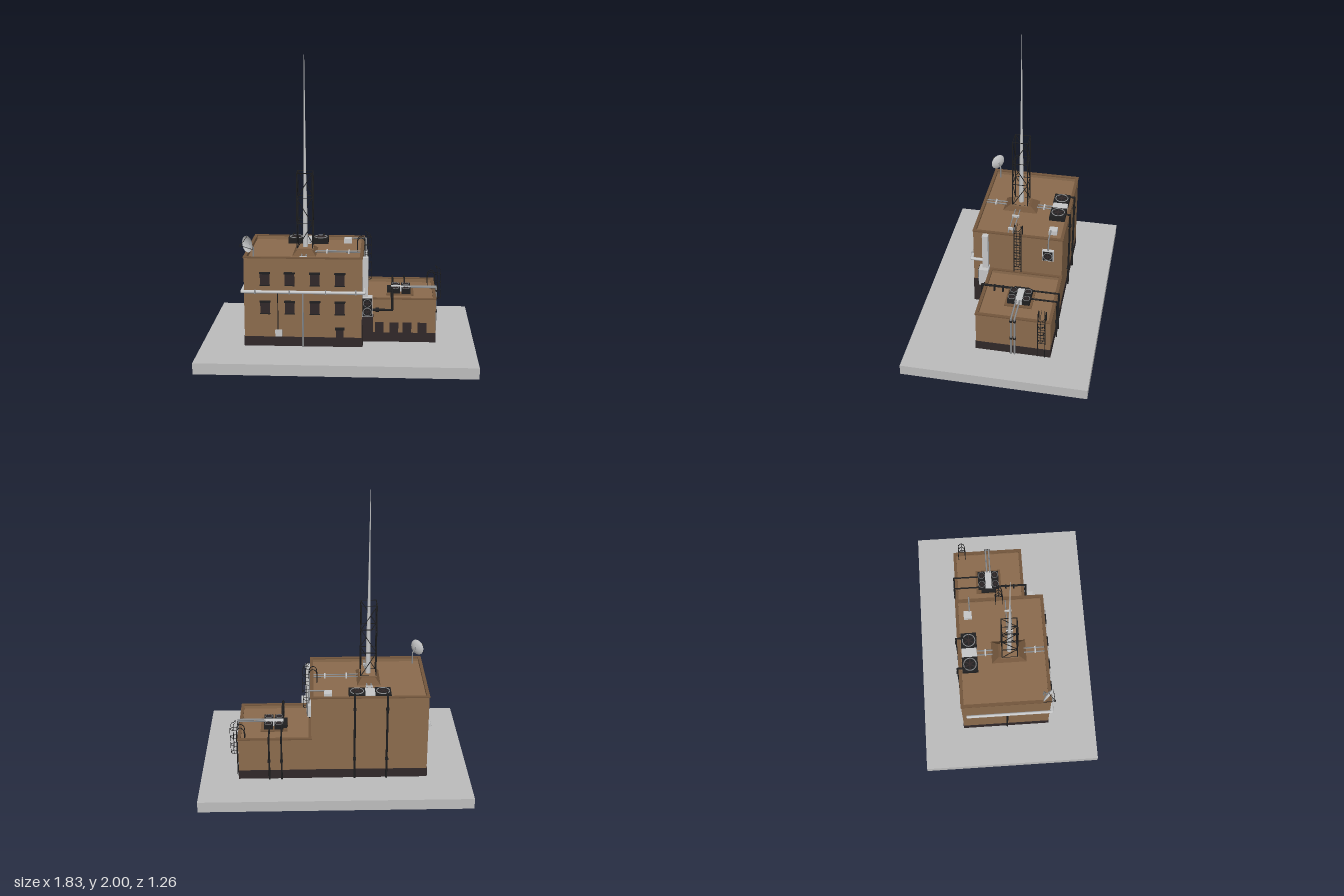
import * as THREE from 'three';

const mat = (name, color, side = THREE.FrontSide) => {
  const m = new THREE.MeshStandardMaterial({ color, side });
  m.name = name;
  return m;
};

export function createModel() {
  const root = new THREE.Group();
  root.name = 'communicationsBuilding';
  const concrete = mat('concrete', 0xbdbdbd);
  const brick = mat('brownWall', 0x8b6b4d);
  const trim = mat('brownTrim', 0x73563c);
  const dark = mat('darkBase', 0x302829);
  const black = mat('blackMetal', 0x1f1f20);
  const grey = mat('greyMetal', 0x8c8e90);
  const light = mat('lightMetal', 0xc6c7c8, THREE.DoubleSide);

  const group = (name) => {
    const g = new THREE.Group();
    g.name = name;
    root.add(g);
    return g;
  };
  const add = (name, geo, m, parent = root) => {
    const mesh = new THREE.Mesh(geo, m);
    mesh.name = name;
    parent.add(mesh);
    return mesh;
  };
  // Box from its minimum and maximum on each axis
  const box = (name, m, x0, x1, y0, y1, z0, z1, parent) => {
    const b = add(name, new THREE.BoxGeometry(x1 - x0, y1 - y0, z1 - z0), m, parent);
    b.position.set((x0 + x1) / 2, (y0 + y1) / 2, (z0 + z1) / 2);
    return b;
  };
  // Straight pipe runs with rounded elbows
  const pipe = (name, m, r, pts, parent, sides = 8) => {
    const v = pts.map((p) => new THREE.Vector3(...p));
    for (let i = 0; i + 1 < v.length; i++) {
      const d = v[i + 1].clone().sub(v[i]);
      const c = add(name, new THREE.CylinderGeometry(r, r, d.length(), sides), m, parent);
      c.position.copy(v[i]).addScaledVector(d, 0.5);
      c.quaternion.setFromUnitVectors(new THREE.Vector3(0, 1, 0), d.normalize());
      if (i > 0) add(name + 'Elbow', new THREE.SphereGeometry(r, sides, 6), m, parent).position.copy(v[i]);
    }
  };
  const curve = (name, m, r, pts, parent) => add(name, new THREE.TubeGeometry(
    new THREE.CatmullRomCurve3(pts.map((p) => new THREE.Vector3(...p))), 16, r, 5), m, parent);
  // Fan lying flat, facing up
  const fan = (x, y, z, r, parent) => {
    const f = new THREE.Group();
    f.name = 'fan';
    f.position.set(x, y, z);
    add('fanRing', new THREE.TorusGeometry(r, r * 0.08, 6, 20).rotateX(Math.PI / 2), grey, f);
    add('fanHub', new THREE.CylinderGeometry(r * 0.22, r * 0.22, 0.006, 12), dark, f);
    for (let i = 0; i < 3; i++) {
      add('fanBlade', new THREE.BoxGeometry(r * 1.9, 0.003, r * 0.2), dark, f).rotation.y = i * Math.PI / 3;
    }
    parent.add(f);
    return f;
  };

  box('groundSlab', concrete, -0.917, 0.917, 0, 0.075, -0.63, 0.63);

  // Walled blocks with a sunken roof, parapet and dark plinth
  const block = (name, x0, x1, top, z0, z1) => {
    const g = group(name);
    const roof = top - 0.032, t = 0.014, c = 0.004;
    box('walls', brick, x0, x1, 0.075, roof, z0, z1, g);
    for (const [a, b, d, e] of [[x0, x1, z0, z0 + t], [x0, x1, z1 - t, z1], [x0, x0 + t, z0 + t, z1 - t], [x1 - t, x1, z0 + t, z1 - t]]) {
      box('parapet', brick, a, b, roof, top - 0.008, d, e, g);
      box('parapetCap', trim, a - c, b + c, top - 0.008, top, d - c, e + c, g);
    }
    box('plinth', dark, x0 - 0.003, x1 + 0.003, 0.075, 0.14, z0 - 0.003, z1 + 0.003, g);
  };
  block('mainBlock', -0.625, 0.162, 0.69, -0.34, 0.283);
  block('annex', 0.162, 0.656, 0.382, -0.342, 0.165);
  box('darkSidePanel', dark, 0.16, 0.167, 0.075, 0.27, 0.165, 0.286);
  box('darkFrontPanel', dark, 0.162, 0.235, 0.075, 0.27, 0.165, 0.171);

  // Front windows with black lintels
  const win = group('windows');
  for (const x of [-0.485, -0.32, -0.152, 0.014]) for (const y of [0.345, 0.542]) {
    box('windowPane', dark, x - 0.032, x + 0.032, y - 0.042, y + 0.042, 0.28, 0.288, win);
    box('lintel', black, x - 0.036, x + 0.036, y + 0.036, y + 0.047, 0.28, 0.302, win);
    box('sill', black, x - 0.034, x + 0.034, y - 0.046, y - 0.041, 0.28, 0.294, win);
  }
  for (const x of [0.276, 0.375, 0.463, 0.565]) {
    box('annexWindow', dark, x - 0.03, x + 0.03, 0.13, 0.212, 0.16, 0.17, win);
  }
  box('frontHatch', dark, -0.012, 0.04, 0.08, 0.2, 0.28, 0.29);
  box('hatchLintel', black, -0.018, 0.046, 0.196, 0.21, 0.28, 0.302);

  // Large pipe wrapping the walls, with downpipes
  const wrap = group('wallPipes');
  pipe('ringPipe', light, 0.011, [[-0.637, 0.455, -0.31], [-0.637, 0.455, 0.297], [0.176, 0.455, 0.297], [0.176, 0.455, 0.2]], wrap, 12);
  for (const x of [-0.55, -0.32, -0.08, 0.12]) box('pipeBracket', grey, x - 0.004, x + 0.004, 0.442, 0.468, 0.282, 0.309, wrap);
  pipe('frontDownpipe', grey, 0.006, [[-0.232, 0.455, 0.293], [-0.232, 0.075, 0.293]], wrap);
  pipe('frontCable', black, 0.003, [[-0.4, 0.45, 0.287], [-0.4, 0.18, 0.287]], wrap);
  box('meterBox', light, -0.418, -0.372, 0.145, 0.19, 0.28, 0.298, wrap);
  pipe('leftDownpipe', black, 0.006, [[-0.632, 0.455, -0.02], [-0.632, 0.075, -0.02]], wrap);
  for (const x of [-0.348, -0.13]) {
    pipe('backDownpipe', black, 0.007, [[x, 0.675, -0.3], [x, 0.697, -0.3], [x, 0.697, -0.35], [x, 0.075, -0.35]], wrap);
    for (const y of [0.22, 0.6]) box('pipeClamp', black, x - 0.011, x + 0.011, y, y + 0.012, -0.361, -0.338, wrap);
  }
  for (const x of [0.365, 0.449]) {
    pipe('annexBackPipe', black, 0.006, [[x, 0.388, -0.16], [x, 0.388, -0.353], [x, 0.075, -0.353]], wrap);
    box('pipeClamp', black, x - 0.01, x + 0.01, 0.21, 0.222, -0.362, -0.34, wrap);
  }
  for (const z of [-0.078, -0.102]) {
    pipe('annexSidePipe', grey, 0.006, [[0.48, 0.388, z], [0.668, 0.388, z], [0.668, 0.075, z]], wrap);
    for (const y of [0.21, 0.36]) box('pipeClamp', black, 0.655, 0.678, y, y + 0.012, z - 0.009, z + 0.009, wrap);
  }

  // Corner duct and the unit beneath it
  const duct = group('cornerDuct');
  box('ductRiser', light, 0.162, 0.2, 0.4, 0.675, 0.174, 0.214, duct);
  box('ductUnit', light, 0.162, 0.23, 0.27, 0.405, 0.168, 0.236, duct);
  box('unitFront', black, 0.164, 0.228, 0.275, 0.4, 0.234, 0.24, duct);
  for (const y of [0.307, 0.368]) fan(0.196, y, 0.241, 0.027, duct).rotation.x = Math.PI / 2;
  pipe('unitPipe', black, 0.008, [[0.23, 0.305, 0.182], [0.362, 0.305, 0.182], [0.362, 0.39, 0.182], [0.362, 0.39, -0.04]], duct);
  add('valve', new THREE.CylinderGeometry(0.015, 0.015, 0.025, 10).rotateZ(Math.PI / 2), black, duct).position.set(0.262, 0.305, 0.182);
  for (const z of [0.03, 0.09]) box('pipeSupport', black, 0.352, 0.372, 0.35, 0.398, z, z + 0.01, duct);

  // Cooling units on both roofs
  const cool = group('mainRoofCooler');
  box('coolerMiddle', light, -0.27, -0.2, 0.658, 0.692, -0.315, -0.21, cool);
  for (const [a, b] of [[-0.375, -0.268], [-0.202, -0.092]]) {
    box('coolerBody', black, a, b, 0.658, 0.696, -0.317, -0.207, cool);
    fan((a + b) / 2, 0.698, -0.262, 0.044, cool);
  }
  const acool = group('annexCooler');
  box('coolerCurb', trim, 0.325, 0.51, 0.35, 0.358, -0.187, 0, acool);
  box('coolerBand', light, 0.354, 0.49, 0.358, 0.389, -0.118, -0.068, acool);
  box('coolerSideBox', black, 0.328, 0.354, 0.358, 0.38, -0.15, -0.04, acool);
  for (const x of [0.385, 0.457]) for (const z of [-0.144, -0.044]) {
    box('coolerBody', black, x - 0.031, x + 0.031, 0.358, 0.392, z - 0.027, z + 0.027, acool);
    fan(x, 0.394, z, 0.024, acool);
  }

  // Wall fan and the roof box that feeds it
  const vent = group('wallVent');
  box('ventFrame', light, 0.16, 0.185, 0.515, 0.6, -0.283, -0.203, vent);
  box('ventFace', black, 0.182, 0.188, 0.521, 0.594, -0.277, -0.209, vent);
  fan(0.19, 0.557, -0.243, 0.03, vent).rotation.z = -Math.PI / 2;
  box('roofBox', light, 0.02, 0.074, 0.658, 0.692, -0.287, -0.23, vent);
  pipe('ventConduit', grey, 0.005, [[0.07, 0.694, -0.245], [0.176, 0.694, -0.245], [0.176, 0.595, -0.245]], vent);

  // Roof ducts running from the tower base
  const runs = group('roofDucts');
  for (const x of [-0.25, -0.22]) {
    pipe('roofPipe', grey, 0.005, [[x, 0.668, -0.21], [x, 0.668, -0.1]], runs);
    pipe('roofPipe', grey, 0.005, [[x, 0.668, 0.12], [x, 0.668, 0.27]], runs);
  }
  for (const z of [0.015, 0.048]) pipe('roofPipe', grey, 0.004, [[-0.17, 0.668, z], [0.15, 0.668, z]], runs);
  for (const x of [-0.085, 0.065]) box('pipeSaddle', light, x - 0.005, x + 0.005, 0.658, 0.677, 0.006, 0.056, runs);
  for (const z of [-0.15, 0.2]) box('pipeSaddle', light, -0.259, -0.211, 0.658, 0.677, z - 0.005, z + 0.005, runs);

  // Antenna tower: sloped foot, lattice and tapered mast
  const tower = group('antennaTower');
  const cx = -0.235, cz = 0.018, h = 0.053;
  const foot = add('towerFoot', new THREE.CylinderGeometry(0.6, 1, 0.036, 4, 1).rotateY(Math.PI / 4).toNonIndexed(), trim, tower);
  foot.geometry.computeVertexNormals();
  foot.scale.set(0.113, 1, 0.172);
  foot.position.set(cx, 0.676, 0.014);
  box('towerPlate', brick, cx - 0.06, cx + 0.06, 0.69, 0.697, cz - 0.06, cz + 0.06, tower);
  const corner = (i) => [cx + [h, h, -h, -h][i % 4], cz + [h, -h, -h, h][i % 4]];
  const levels = [0.695, 0.87, 1.042, 1.215];
  for (let i = 0; i < 4; i++) {
    const [ax, az] = corner(i), [bx, bz] = corner(i + 1);
    pipe('towerLeg', black, 0.0035, [[ax, 0.69, az], [ax, 1.217, az]], tower, 6);
    levels.forEach((y, k) => {
      pipe('towerRing', black, 0.0028, [[ax, y, az], [bx, y, bz]], tower, 5);
      if (k < 3) pipe('towerBrace', black, 0.0028, [[k % 2 ? bx : ax, y, k % 2 ? bz : az], [k % 2 ? ax : bx, levels[k + 1], k % 2 ? az : bz]], tower, 5);
    });
  }
  add('mast', new THREE.LatheGeometry([[0.018, 0.69], [0.015, 0.95], [0.0095, 1.2], [0.006, 1.5], [0.0015, 2]]
    .map((p) => new THREE.Vector2(...p)), 12), light, tower).position.set(cx, 0, cz);

  // Satellite dish on the front corner
  const dish = group('satelliteDish');
  const bowl = add('dishBowl', new THREE.LatheGeometry([[0.001, 0], [0.025, 0.003], [0.043, 0.009], [0.056, 0.017]]
    .map((p) => new THREE.Vector2(...p)), 20), light, dish);
  bowl.position.set(-0.588, 0.772, 0.25);
  bowl.quaternion.setFromUnitVectors(new THREE.Vector3(0, 1, 0), new THREE.Vector3(-1, 0, 1).normalize());
  const tip = [-0.64, 0.772, 0.302];
  for (const p of [[-0.6, 0.825, 0.262], [-0.64, 0.745, 0.225], [-0.56, 0.745, 0.3]]) pipe('feedStrut', black, 0.002, [p, tip], dish, 5);
  add('feedHorn', new THREE.CylinderGeometry(0.006, 0.006, 0.018, 8), black, dish).position.set(...tip);
  pipe('dishMount', grey, 0.005, [[-0.588, 0.772, 0.25], [-0.565, 0.74, 0.235], [-0.565, 0.655, 0.235]], dish);

  // Caged ladders hooking over each parapet
  const ladder = (name, wallX, z, y0, top, rungStart, cageStart) => {
    const g = group(name);
    const x = wallX + 0.011, w = 0.025;
    for (const s of [-w, w]) {
      pipe('ladderRail', black, 0.003, [[x, y0, z + s], [x, top + 0.035, z + s]], g, 6);
      curve('ladderHandrail', black, 0.003, [[x, top + 0.03, z + s], [x - 0.006, top + 0.055, z + s], [x - 0.027, top + 0.068, z + s], [x - 0.047, top + 0.055, z + s], [x - 0.053, top + 0.03, z + s], [x - 0.053, top - 0.032, z + s]], g);
    }
    for (let y = rungStart; y < top + 0.03; y += 0.024) pipe('ladderRung', black, 0.0022, [[x, y, z - w], [x, y, z + w]], g, 5);
    for (let y = cageStart; y < top + 0.09; y += 0.06) {
      const hoop = add('cageHoop', new THREE.TorusGeometry(w, 0.0018, 5, 14, Math.PI), black, g);
      hoop.rotation.set(Math.PI / 2, 0, -Math.PI / 2);
      hoop.scale.y = 1.7;
      hoop.position.set(x, y, z);
    }
    for (const [dx, dz] of [[0.021, -0.021], [0.0425, 0], [0.021, 0.021]]) {
      curve('cageBar', black, 0.0015, [[x + dx, cageStart, z + dz], [x + dx, top + 0.06, z + dz], [x + dx * 0.8, top + 0.09, z + dz], [x, top + 0.108, z + dz * 0.8]], g);
    }
  };
  ladder('mainLadder', 0.162, -0.03, 0.36, 0.69, 0.4, 0.46);
  ladder('annexLadder', 0.656, -0.282, 0.08, 0.382, 0.2, 0.25);

  return root;
}
